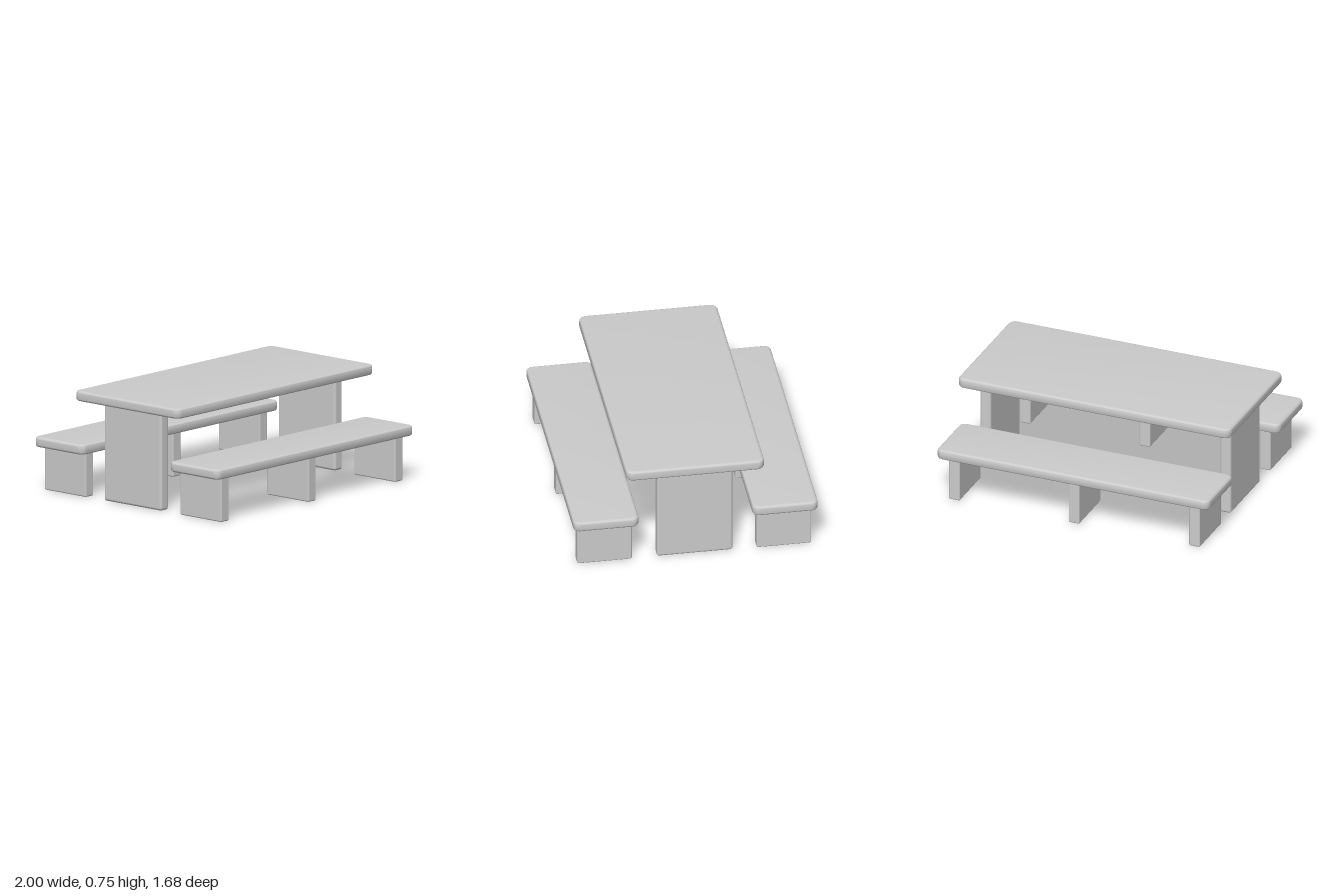
import * as THREE from 'three';
import { toCreasedNormals } from 'three/addons/utils/BufferGeometryUtils.js';
import { RoundedBoxGeometry } from 'three/addons/geometries/RoundedBoxGeometry.js';

const material = new THREE.MeshStandardMaterial({ color: 0xcccccc });

// Horizontal board with rounded plan corners and softened edges; y is its underside.
function board(name, width, depth, thickness, radius, y, z) {
  const bevel = 0.018;
  const w = width / 2 - bevel, d = depth / 2 - bevel, r = radius - bevel;
  const shape = new THREE.Shape();
  shape.absarc(w - r, d - r, r, 0, Math.PI / 2);
  shape.absarc(-w + r, d - r, r, Math.PI / 2, Math.PI);
  shape.absarc(-w + r, -d + r, r, Math.PI, Math.PI * 1.5);
  shape.absarc(w - r, -d + r, r, Math.PI * 1.5, Math.PI * 2);
  const geometry = new THREE.ExtrudeGeometry(shape, {
    depth: thickness - 2 * bevel,
    bevelThickness: bevel,
    bevelSize: bevel,
    bevelSegments: 5,
    curveSegments: 8,
  });
  geometry.rotateX(-Math.PI / 2).translate(0, bevel, 0);
  const mesh = new THREE.Mesh(toCreasedNormals(geometry, 0.7), material);
  mesh.name = name;
  mesh.position.set(0, y, z);
  return mesh;
}

// Upright panel standing on the ground.
function panel(name, height, depth, radius, x, z) {
  const mesh = new THREE.Mesh(new RoundedBoxGeometry(0.08, height, depth, 4, radius), material);
  mesh.name = name;
  mesh.position.set(x, height / 2, z);
  return mesh;
}

export function createModel() {
  const model = new THREE.Group();
  model.name = 'picnicTable';

  // Table: top on two broad panel legs
  const table = new THREE.Group();
  table.name = 'table';
  table.add(board('tableTop', 2, 0.948, 0.07, 0.05, 0.675, 0.003));
  for (const x of [-0.884, 0.879]) table.add(panel('tableLeg', 0.69, 0.52, 0.018, x, -0.004));
  model.add(table);

  // Benches: one on each side, with three panel legs
  for (const side of [1, -1]) {
    const bench = new THREE.Group();
    bench.name = side > 0 ? 'frontBench' : 'backBench';
    bench.add(board('benchSeat', 2, 0.448, 0.07, 0.045, 0.305, side * 0.614));
    for (const x of [-0.884, 0, 0.879]) bench.add(panel('benchLeg', 0.32, 0.375, 0.01, x, side * 0.615));
    model.add(bench);
  }
  return model;
}
